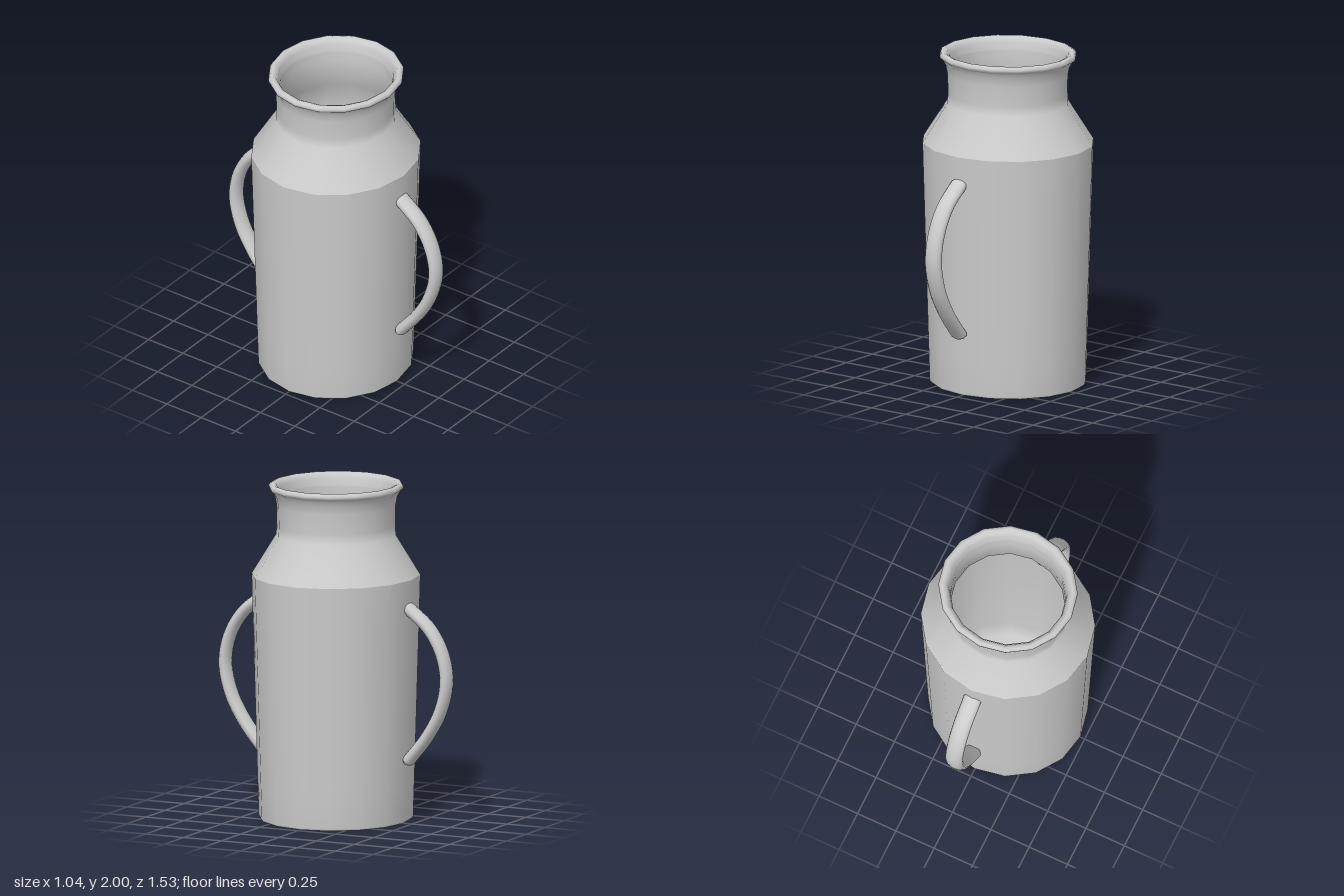
import * as THREE from 'three';

const SIDES = 16;
const DEPTH = 0.953; // the vessel is slightly narrower front to back

export function createModel() {
  const model = new THREE.Group();
  const material = new THREE.MeshStandardMaterial({ color: 0xcccccc, side: THREE.DoubleSide });

  const add = (name, geometry, parent) => {
    const mesh = new THREE.Mesh(geometry, material);
    mesh.name = name;
    parent.add(mesh);
    return mesh;
  };
  const points = (list) => list.map(([r, y]) => new THREE.Vector2(r, y));

  // Vessel: separate lathes keep the base and shoulder edges sharp
  const vessel = new THREE.Group();
  vessel.name = 'vessel';
  vessel.scale.z = DEPTH;
  model.add(vessel);
  const turned = (name, list) => add(name, new THREE.LatheGeometry(points(list), SIDES), vessel);

  turned('base', [[0, 0], [0.466, 0]]);
  turned('bodyWall', [[0.466, 0], [0.474, 0.012], [0.48, 0.2], [0.518, 1.455]]);
  turned('shoulderAndNeck', [
    [0.518, 1.455], [0.368, 1.69], [0.364, 1.75], [0.366, 1.87], [0.377, 1.925], [0.395, 1.955],
  ]);
  turned('rim', [
    [0.395, 1.955], [0.41, 1.966], [0.414, 1.98], [0.406, 1.995], [0.39, 2],
    [0.37, 1.992], [0.355, 1.965], [0.346, 1.92],
  ]);
  turned('innerWall', [
    [0.346, 1.92], [0.342, 1.86], [0.342, 1.69], [0.492, 1.45], [0.455, 0.2],
    [0.43, 0.06], [0.36, 0.03], [0, 0.03],
  ]);

  // Handles: a bowed oval bar with rounded ends, front and back
  const path = new THREE.CatmullRomCurve3(
    [[1.285, 0.482], [1.18, 0.61], [1.04, 0.695], [0.87, 0.728], [0.69, 0.69], [0.53, 0.602], [0.385, 0.485]]
      .map(([y, z]) => new THREE.Vector3(0, y, z)),
  );
  const radius = 0.036;
  const tube = new THREE.TubeGeometry(path, 28, radius, 14, false);
  const cap = new THREE.SphereGeometry(radius, 14, 10);
  for (const [name, angle] of [['frontHandle', 0], ['backHandle', Math.PI]]) {
    const handle = new THREE.Group();
    handle.name = name;
    handle.rotation.y = angle;
    handle.scale.x = 1.53;
    add('handleBar', tube, handle);
    for (const t of [0, 1]) add('handleEnd', cap, handle).position.copy(path.getPoint(t));
    model.add(handle);
  }
  return model;
}
